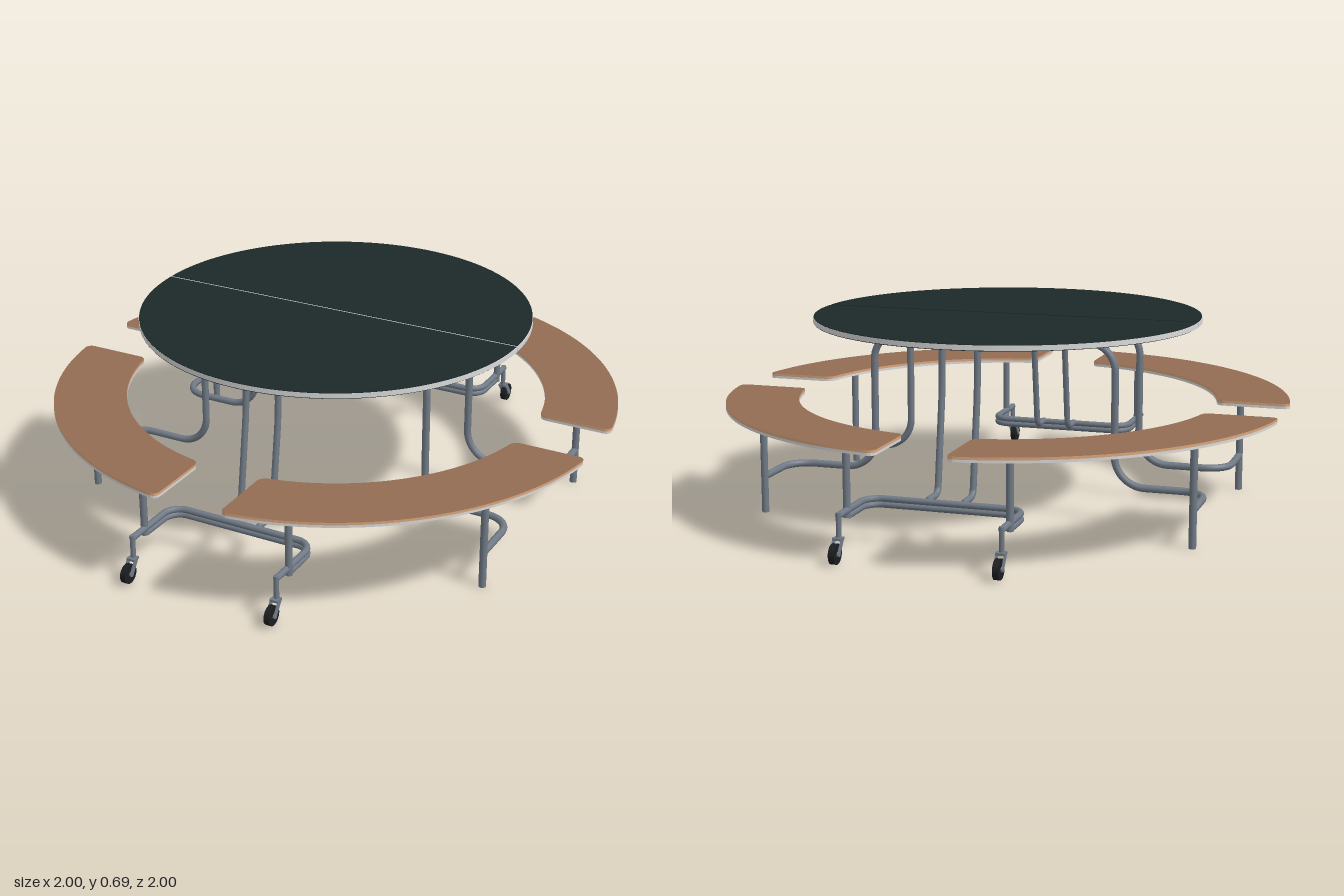
import * as THREE from 'three';
import { toCreasedNormals } from 'three/addons/utils/BufferGeometryUtils.js';

const mat = (name, color, side = THREE.FrontSide) => {
  const m = new THREE.MeshStandardMaterial({ color, side });
  m.name = name;
  return m;
};
const V = (x, y, z) => new THREE.Vector3(x, y, z);

// Path through points with every inner corner rounded to its radius
function roundedPath(points, radius) {
  const path = new THREE.CurvePath();
  let last = points[0];
  for (let i = 1; i < points.length - 1; i++) {
    const p = points[i];
    const a = p.clone().add(points[i - 1].clone().sub(p).setLength(radius[i - 1]));
    const b = p.clone().add(points[i + 1].clone().sub(p).setLength(radius[i - 1]));
    const ka = p.clone().lerp(a, 0.45), kb = p.clone().lerp(b, 0.45);
    path.add(new THREE.LineCurve3(last, a));
    path.add(new THREE.CubicBezierCurve3(a, ka, kb, b));
    last = b;
  }
  path.add(new THREE.LineCurve3(last, points[points.length - 1]));
  return path;
}

// Flat slab lying on y, extruded upwards from a plan shape
function slab(shape, y, height) {
  const g = new THREE.ExtrudeGeometry(shape, { depth: height, bevelEnabled: false, curveSegments: 64 });
  g.rotateX(-Math.PI / 2);
  g.translate(0, y, 0);
  return toCreasedNormals(g, 0.5);
}

// Half disc whose straight side lies a small gap off the centre line
function halfDisc(radius, gap) {
  const s = new THREE.Shape();
  s.absarc(0, gap, radius, 0, Math.PI, false);
  s.closePath();
  return s;
}

// Quarter-ring seat with straight ends and rounded corners
function seatShape(inner, outer, gap, r) {
  const at = (rad, u) => Math.sqrt(rad * rad - u * u);
  const ao = Math.asin((gap + r) / outer), ai = Math.asin((gap + r) / inner);
  const H = Math.PI / 2;
  const s = new THREE.Shape();
  s.moveTo(at(inner, gap) + r, gap);
  s.lineTo(at(outer, gap) - r, gap);
  s.quadraticCurveTo(at(outer, gap), gap, at(outer, gap + r), gap + r);
  s.absarc(0, 0, outer, ao, H - ao, false);
  s.quadraticCurveTo(gap, at(outer, gap), gap, at(outer, gap) - r);
  s.lineTo(gap, at(inner, gap) + r);
  s.quadraticCurveTo(gap, at(inner, gap), gap + r, at(inner, gap + r));
  s.absarc(0, 0, inner, H - ai, ai, true);
  s.quadraticCurveTo(at(inner, gap), gap, at(inner, gap) + r, gap);
  return s;
}

export function createModel() {
  const model = new THREE.Group();
  model.name = 'roundBenchTable';
  const darkTop = mat('dark laminate', 0x1c2929);
  const trim = mat('light trim', 0xdadada);
  const brown = mat('brown seat', 0x946d54);
  const seatEdge = mat('tan seat edge', 0xdaa67c);
  const metal = mat('steel', 0x707a86, THREE.DoubleSide);
  const rubber = mat('black rubber', 0x1b1d1e);

  const add = (name, geometry, material, parent = model) => {
    const m = new THREE.Mesh(geometry, material);
    m.name = name;
    parent.add(m);
    return m;
  };
  const tube = (name, points, radii, r, parent) =>
    add(name, new THREE.TubeGeometry(roundedPath(points, radii), 96, r, 10), metal, parent);
  const post = (name, x, z, y0, y1, r, parent) =>
    add(name, new THREE.CylinderGeometry(r, r, y1 - y0, 14), metal, parent).position.set(x, (y0 + y1) / 2, z);

  // Two table halves: light rim, dark faces above and below, light plate beneath
  const rim = slab(halfDisc(0.695, 0.0015), 0.673, 0.017);
  const upperFace = slab(halfDisc(0.6915, 0.005), 0.69, 0.002);
  const lowerFace = slab(halfDisc(0.6915, 0.005), 0.671, 0.002);
  const plate = slab(halfDisc(0.375, 0.001), 0.65, 0.021);
  for (const turn of [0, Math.PI]) {
    const half = new THREE.Group();
    half.name = 'tableHalf';
    half.rotation.y = turn;
    add('tableRim', rim, trim, half);
    add('tableTop', upperFace, darkTop, half);
    add('tableUnderside', lowerFace, darkTop, half);
    add('underPlate', plate, trim, half);
    model.add(half);
  }

  // Four curved benches
  const seat = seatShape(0.752, 1.01, 0.118, 0.03);
  const seatTop = slab(seat, 0.387, 0.009), seatBase = slab(seat, 0.378, 0.009);
  for (let i = 0; i < 4; i++) {
    const bench = new THREE.Group();
    bench.name = 'bench';
    bench.rotation.y = i * Math.PI / 2;
    add('seat', seatTop, [brown, seatEdge], bench);
    add('seatUnderside', seatBase, trim, bench);
    model.add(bench);
  }

  // Four bent side arms with standing posts
  for (const sx of [-1, 1]) for (const sz of [-1, 1]) {
    const p = (x, y, z) => V(sx * x, y, sz * z);
    tube('sideArm', [
      p(0.24, 0.632, 0.18), p(0.445, 0.632, 0.18), p(0.445, 0.13, 0.18),
      p(0.775, 0.13, 0.18), p(0.775, 0.13, 0.42),
    ], [0.1, 0.11, 0.09], 0.013);
    post('sidePost', sx * 0.775, sz * 0.42, 0, 0.38, 0.013);
  }

  // Rolling frames at front and back
  for (const turn of [0, Math.PI]) {
    const frame = new THREE.Group();
    frame.name = 'rollingFrame';
    frame.rotation.y = turn;
    model.add(frame);
    for (const y of [0.155, 0.135]) {
      const end = y > 0.14 ? 0.925 : 0.84;
      tube('crossTube', [
        V(-0.275, y, end), V(-0.275, y, 0.675), V(0.275, y, 0.675), V(0.275, y, end),
      ], [0.06, 0.06], 0.0115, frame);
    }
    for (const s of [-1, 1]) {
      // Inner leg rising to the table
      tube('innerLeg', [
        V(s * 0.062, 0.16, 0.672), V(s * 0.062, 0.16, 0.577),
        V(s * 0.062, 0.52, 0.525), V(s * 0.062, 0.672, 0.525),
      ], [0.025, 0.06], 0.0115, frame);
      post('benchPost', s * 0.278, 0.845, 0.13, 0.38, 0.0125, frame);
      post('casterStem', s * 0.275, 0.922, 0.08, 0.165, 0.009, frame);

      // Caster fork and wheel
      const caster = new THREE.Group();
      caster.name = 'caster';
      caster.position.set(s * 0.275, 0.037, 0.957);
      frame.add(caster);
      add('forkTop', new THREE.BoxGeometry(0.03, 0.008, 0.03), metal, caster).position.set(0, 0.043, -0.03);
      for (const k of [-1, 1]) {
        const cheek = add('forkCheek', new THREE.BoxGeometry(0.004, 0.058, 0.018), metal, caster);
        cheek.position.set(k * 0.014, 0.02, -0.014);
        cheek.rotation.x = -0.62;
      }
      add('wheel', new THREE.CylinderGeometry(0.034, 0.034, 0.02, 24), rubber, caster).rotation.z = Math.PI / 2;
      add('hub', new THREE.CylinderGeometry(0.009, 0.009, 0.034, 12), metal, caster).rotation.z = Math.PI / 2;
    }
  }
  return model;
}
